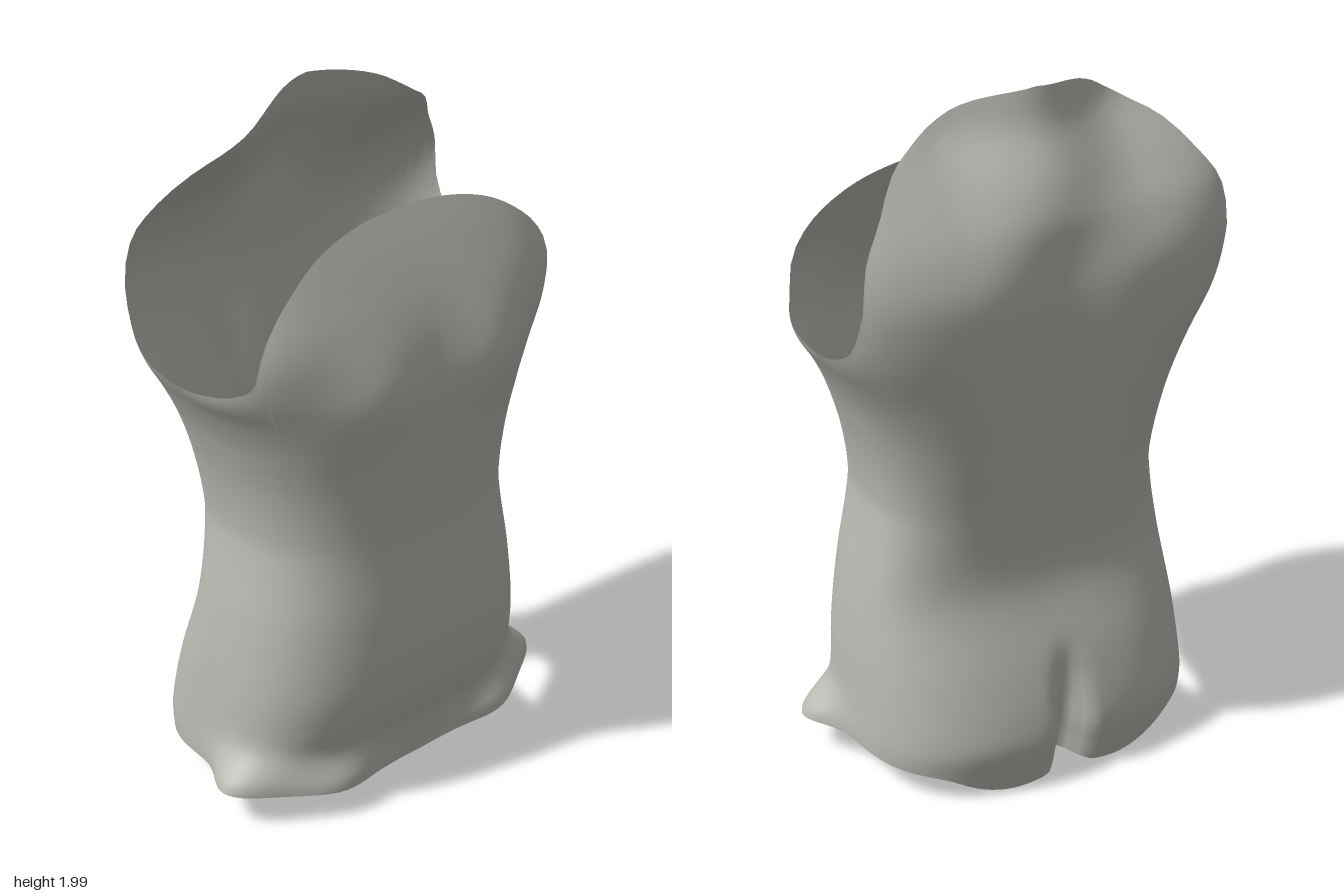
import * as THREE from 'three';

// Smooth curve through [position, value] pairs, clamped at the ends.
function curve(points) {
  const slope = points.map((p, i) => {
    const a = points[Math.max(i - 1, 0)], b = points[Math.min(i + 1, points.length - 1)];
    return (b[1] - a[1]) / (b[0] - a[0]);
  });
  return (x) => {
    const last = points.length - 1;
    if (x <= points[0][0]) return points[0][1];
    if (x >= points[last][0]) return points[last][1];
    let i = 0;
    while (x > points[i + 1][0]) i++;
    const h = points[i + 1][0] - points[i][0];
    const t = (x - points[i][0]) / h, t2 = t * t, t3 = t2 * t;
    return (2 * t3 - 3 * t2 + 1) * points[i][1] + (t3 - 2 * t2 + t) * h * slope[i]
      + (3 * t2 - 2 * t3) * points[i + 1][1] + (t3 - t2) * h * slope[i + 1];
  };
}
const bump = (d, width) => Math.exp(-((d / width) ** 2));
const smooth = THREE.MathUtils.smoothstep;

// Half width by height, shared up to the armpit
const waist = [[0, 0.5], [0.1, 0.515], [0.25, 0.507], [0.4, 0.493], [0.6, 0.465],
  [0.75, 0.437], [0.85, 0.425], [1, 0.445], [1.15, 0.49], [1.25, 0.537], [1.33, 0.583]];
const frontWidth = curve([...waist, [1.4, 0.583], [1.5, 0.565], [1.6, 0.54], [1.73, 0.5]]);
const backWidth = curve([...waist, [1.4, 0.608], [1.5, 0.62], [1.6, 0.622], [1.8, 0.605], [2, 0.6]]);

// Depth of chest and back by height
const frontDepth = curve([[0.08, 0.315], [0.2, 0.32], [0.27, 0.343], [0.4, 0.366], [0.6, 0.364],
  [0.8, 0.35], [1, 0.355], [1.15, 0.364], [1.27, 0.367], [1.4, 0.346], [1.5, 0.314], [1.6, 0.268], [1.68, 0.227], [1.73, 0.2]]);
const backDepth = curve([[0, 0.355], [0.08, 0.375], [0.17, 0.39], [0.35, 0.342], [0.55, 0.262], [0.65, 0.247],
  [0.8, 0.262], [1, 0.3], [1.2, 0.332], [1.47, 0.354], [1.65, 0.324], [1.75, 0.28], [1.82, 0.24], [1.9, 0.19], [2, 0.16]]);

// Squareness of the cross-section by height
const frontSquare = curve([[1.1, 2.7], [1.33, 2.8], [1.5, 4.2], [1.7, 5]]);
const backSquare = curve([[1.1, 2.7], [1.38, 3], [1.5, 3.3], [1.6, 3.8], [1.7, 4.8], [1.8, 6]]);

// Heights of the lower and upper rims, by angle from front (0) to back (180)
const hem = curve([[0, 0.085], [30, 0.092], [50, 0.11], [65, 0.118], [90, 0.115], [120, 0.1], [138, 0.08],
  [150, 0.03], [160, 0.01], [171, 0.022], [180, 0.05]]);
const neckline = curve([[0, 1.73], [17, 1.72], [31, 1.68], [41, 1.6], [48.5, 1.5], [53, 1.4], [60, 1.365], [68, 1.35],
  [90, 1.332], [106, 1.35], [120, 1.4], [126.3, 1.5], [131.8, 1.635], [139.2, 1.74], [145.4, 1.835],
  [151.2, 1.885], [156.2, 1.925], [161.6, 1.962], [168.7, 1.985], [180, 2]]);

function surfacePoint(angle, y) {
  const s = Math.sin(angle), c = Math.cos(angle), front = c >= 0;
  const n = front ? frontSquare(y) : backSquare(y);
  const r = (Math.abs(s) ** n + Math.abs(c) ** n) ** (-1 / n);
  let x = (front ? frontWidth(y) : backWidth(y)) * r * s;
  let z = (front ? frontDepth(y) : backDepth(y)) * r * c;
  // Hips flare at the front corners of the hem
  x *= 1 + 0.21 * bump(y - 0.12, 0.07) * bump(c - 0.53, 0.35);
  const ax = Math.abs(x);
  if (front) {
    // Gentle chest swell and the tops of the thighs
    z += c * 0.034 * bump(ax - 0.22, 0.15) * bump(y - 1.29, 0.14);
    z += c * 0.05 * bump(ax - 0.32, 0.13) * bump(y - 0.1, 0.06);
  } else {
    // Spine groove, cleft, and shoulders curling forward
    const spine = 0.042 * smooth(y, 0.6, 1.2) * (1 - smooth(y, 1.5, 1.8));
    const cleft = 0.095 * (1 - smooth(y, 0.1, 0.45));
    z += spine * bump(x, 0.16) + cleft * bump(x, 0.04);
    z += 0.105 * smooth(y, 1.5, 1.92) * smooth(ax, 0, 0.3);
  }
  return [x, y, z];
}

function torsoGeometry(columns = 144, rows = 72) {
  const positions = [], index = [];
  for (let j = 0; j <= rows; j++) {
    for (let i = 0; i < columns; i++) {
      const angle = (i / columns) * Math.PI * 2;
      const degrees = 180 - Math.abs(180 - (i / columns) * 360);
      const y = THREE.MathUtils.lerp(hem(degrees), neckline(degrees), j / rows);
      positions.push(...surfacePoint(angle, y));
      if (j === rows) continue;
      const a = j * columns + i, b = j * columns + (i + 1) % columns;
      index.push(a, b, b + columns, a, b + columns, a + columns);
    }
  }
  const geometry = new THREE.BufferGeometry();
  geometry.setAttribute('position', new THREE.Float32BufferAttribute(positions, 3));
  geometry.setIndex(index);
  geometry.computeVertexNormals();
  return geometry;
}

export function createModel() {
  const group = new THREE.Group();
  group.name = 'torso';
  const material = new THREE.MeshStandardMaterial({ color: 0xb8b7b0, side: THREE.DoubleSide });
  material.name = 'warm grey';
  const shell = new THREE.Mesh(torsoGeometry(), material);
  shell.name = 'torsoShell';
  group.add(shell);
  return group;
}
